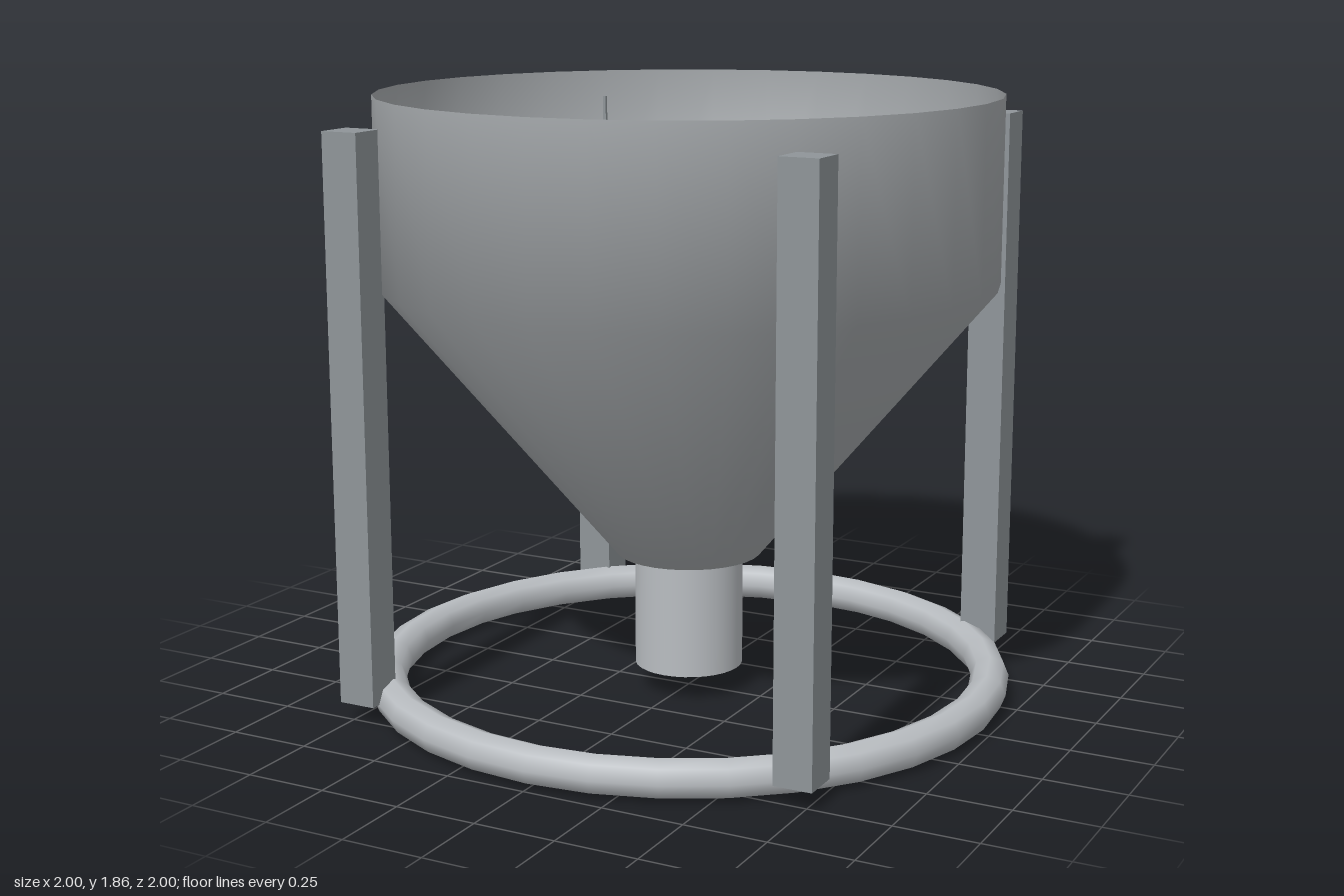
import * as THREE from 'three';

export function createModel() {
  const model = new THREE.Group();
  model.name = 'hopper';

  const funnelMetal = new THREE.MeshStandardMaterial({ color: 0xa6aaad, side: THREE.DoubleSide });
  funnelMetal.name = 'funnel grey';
  const pipeMetal = new THREE.MeshStandardMaterial({ color: 0xb9bdc1, side: THREE.DoubleSide });
  pipeMetal.name = 'light grey';
  const legMetal = new THREE.MeshStandardMaterial({ color: 0x8f9599 });
  legMetal.name = 'leg grey';

  const add = (name, geometry, material, x, y, z) => {
    const mesh = new THREE.Mesh(geometry, material);
    mesh.name = name;
    mesh.position.set(x, y, z);
    model.add(mesh);
    return mesh;
  };

  // Open thin-walled funnel: cone below, straight collar above
  const profile = [[0.224, 0.44], [0.94, 1.295], [0.94, 1.86]];
  add('funnel', new THREE.LatheGeometry(profile.map(([r, y]) => new THREE.Vector2(r, y)), 32),
    funnelMetal, 0, 0, 0);

  // Outlet pipe, open at both ends, with a rolled collar inside the funnel mouth
  add('outletPipe', new THREE.CylinderGeometry(0.168, 0.168, 0.4, 32, 1, true), pipeMetal, 0, 0.28, 0);
  const collar = new THREE.TorusGeometry(0.171, 0.043, 12, 32).rotateX(Math.PI / 2);
  add('outletCollar', collar, legMetal, 0, 0.475, 0);

  // Base ring on the ground
  const ring = new THREE.TorusGeometry(0.941, 0.059, 8, 32).rotateX(Math.PI / 2);
  add('baseRing', ring, pipeMetal, 0, 0.059, 0);

  // Four square legs
  const legGeometry = new THREE.BoxGeometry(0.118, 1.715, 0.118);
  for (const x of [-0.718, 0.718])
    for (const z of [-0.718, 0.718])
      add((z > 0 ? 'front' : 'back') + (x > 0 ? 'Left' : 'Right') + 'Leg', legGeometry, legMetal, x, 0.917, z);

  return model;
}
